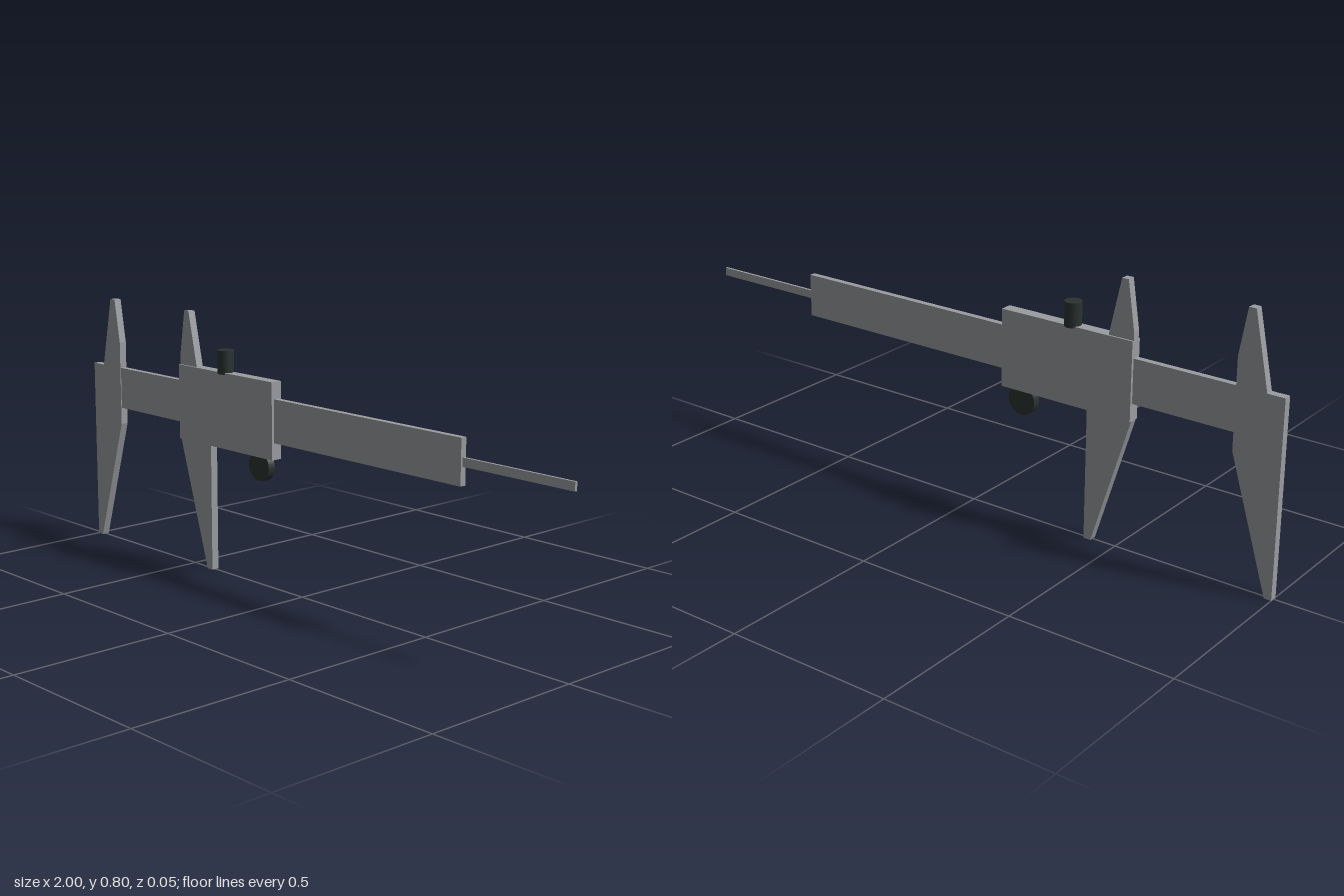
import * as THREE from 'three';

export function createModel() {
  const model = new THREE.Group();
  model.name = 'caliper';
  const steel = new THREE.MeshStandardMaterial({ color: 0x9a9da1 });
  steel.name = 'steel grey';
  const dark = new THREE.MeshStandardMaterial({ color: 0x2a3230 });
  dark.name = 'dark knob';

  const add = (name, geometry, material, parent = model) => {
    const mesh = new THREE.Mesh(geometry, material);
    mesh.name = name;
    parent.add(mesh);
    return mesh;
  };

  // Box given by its front outline and its depth, centred on z
  const bar = (name, x0, x1, y0, y1, depth, parent) =>
    add(name, new THREE.BoxGeometry(x1 - x0, y1 - y0, depth), steel, parent)
      .position.set((x0 + x1) / 2, (y0 + y1) / 2, 0);

  // Flat plate cut from an outline, centred on z
  const plate = (name, points, depth, parent) => {
    const shape = new THREE.Shape(points.map(([x, y]) => new THREE.Vector2(x, y)));
    const geometry = new THREE.ExtrudeGeometry(shape, { depth, bevelEnabled: false });
    geometry.translate(0, 0, -depth / 2);
    add(name, geometry, steel, parent);
  };

  // Main beam and depth rod
  bar('beam', -0.98, 0.626, 0.447, 0.578, 0.019);
  bar('depthRod', 0.6, 1, 0.5, 0.525, 0.008);

  // Fixed jaw, with the long outer jaw below and the short inner one above
  plate('fixedJaw', [
    [-1, 0], [-0.978, 0], [-0.858, 0.394], [-0.858, 0.66],
    [-0.881, 0.797], [-0.903, 0.797], [-0.948, 0.578], [-1, 0.578],
  ], 0.024);

  // Sliding carriage with its two jaws
  const slider = new THREE.Group();
  slider.name = 'slider';
  model.add(slider);
  bar('sliderBody', -0.545, -0.112, 0.396, 0.629, 0.036, slider);
  plate('slidingJaw', [
    [-0.424, 0], [-0.401, 0], [-0.401, 0.5], [-0.465, 0.628],
    [-0.502, 0.797], [-0.523, 0.797], [-0.545, 0.655], [-0.545, 0.394],
  ], 0.024, slider);

  // Locking screw on top and thumb wheel underneath
  add('lockScrew', new THREE.CylinderGeometry(0.025, 0.025, 0.072, 16), dark, slider)
    .position.set(-0.341, 0.66, 0);
  const wheel = add('thumbWheel', new THREE.CylinderGeometry(0.045, 0.045, 0.024, 24), dark, slider);
  wheel.rotation.x = Math.PI / 2;
  wheel.position.set(-0.178, 0.367, 0);

  return model;
}
